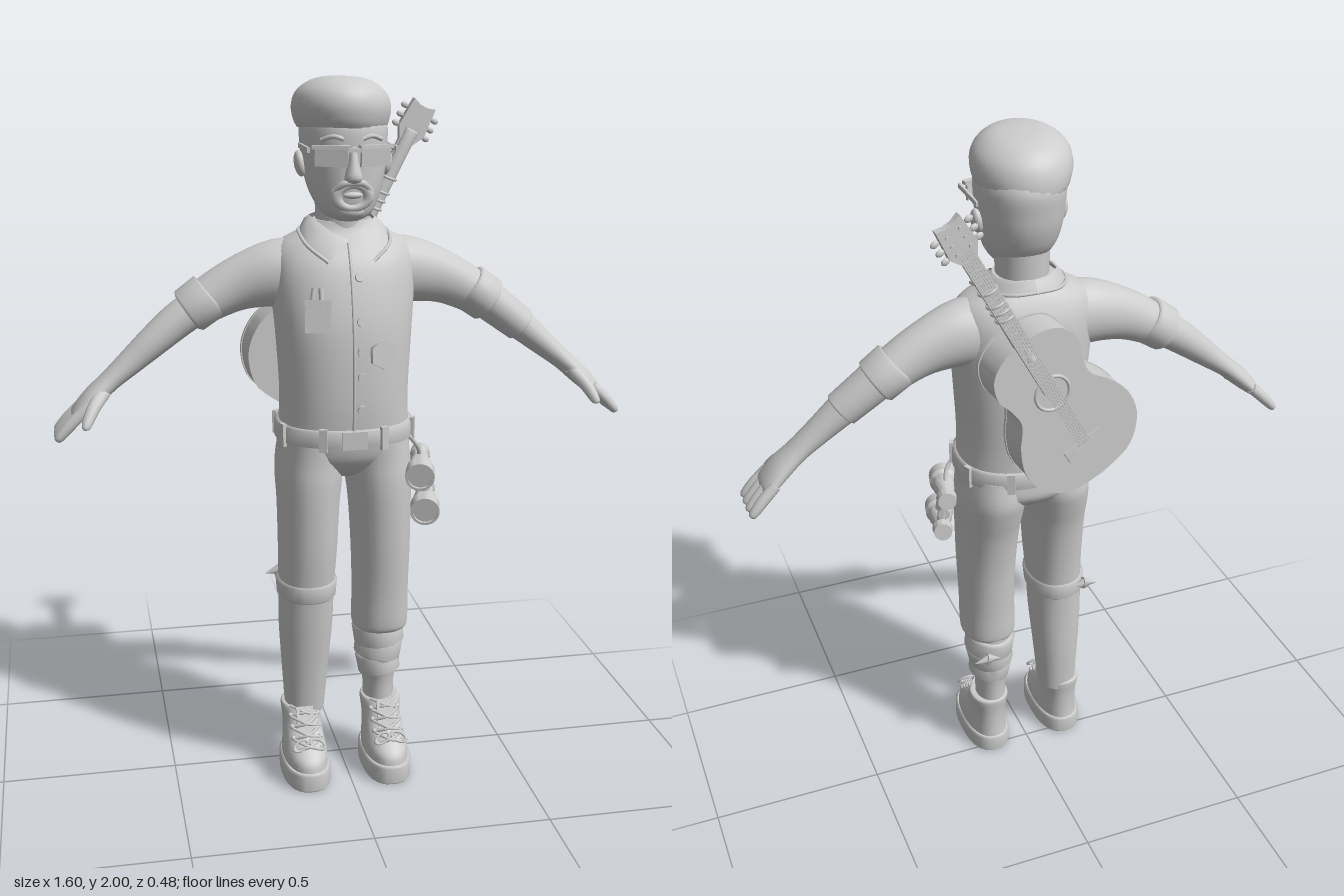
import * as THREE from 'three';
import { toCreasedNormals } from 'three/addons/utils/BufferGeometryUtils.js';

const clay = new THREE.MeshStandardMaterial({ color: 0xcccccc });
clay.name = 'clay grey';
const clayThin = clay.clone();
clayThin.name = 'clay grey thin';
clayThin.side = THREE.DoubleSide;
const V = (x, y, z) => new THREE.Vector3(x, y, z);

// Catmull-Rom sample of rows [x, y, z, radiusA, radiusB]
function sample(rows, t) {
  const i = Math.min(Math.floor(t), rows.length - 2), f = t - i;
  const row = k => rows[Math.max(0, Math.min(rows.length - 1, k))];
  return rows[0].map((_, c) => {
    const [p, q, r, s] = [row(i - 1)[c], row(i)[c], row(i + 1)[c], row(i + 2)[c]];
    return q + 0.5 * f * (r - p + f * (2 * p - 5 * q + 4 * r - s + f * (3 * (q - r) + s - p)));
  });
}

// Closed skin over elliptical rings; rings lie flat, or follow the path when bend is true
function loft(rows, { sub = 4, n = 28, e = 2, bend = false } = {}) {
  const rings = [], pos = [], idx = [], steps = (rows.length - 1) * sub;
  for (let i = 0; i <= steps; i++) rings.push(sample(rows, i / sub));
  const upward = Math.sign(rings[steps][1] - rings[0][1]);
  const addRing = i => {
    const [x, y, z, a, b] = rings[i];
    const p = rings[Math.max(0, i - 1)], q = rings[Math.min(steps, i + 1)];
    let ux = upward, uy = 0;
    if (bend) {
      const l = Math.hypot(q[0] - p[0], q[1] - p[1]);
      ux = (q[1] - p[1]) / l; uy = -(q[0] - p[0]) / l;
    }
    for (let j = 0; j < n; j++) {
      const t = j / n * Math.PI * 2, c = Math.cos(t), s = Math.sin(t);
      const u = Math.sign(c) * Math.abs(c) ** (2 / e) * Math.max(a, 0.001);
      const v = Math.sign(s) * Math.abs(s) ** (2 / e) * Math.max(b, 0.001);
      pos.push(x + ux * u, y + uy * u, z + v);
    }
  };
  for (let i = 0; i <= steps; i++) addRing(i);
  for (let i = 0; i < steps; i++) for (let j = 0; j < n; j++) {
    const a = i * n + j, b = i * n + (j + 1) % n;
    idx.push(a, a + n, b, b, a + n, b + n);
  }
  for (const i of [0, steps]) {
    const base = pos.length / 3;
    addRing(i);
    pos.push(...rings[i].slice(0, 3));
    for (let j = 0; j < n; j++) {
      const a = base + j, b = base + (j + 1) % n;
      idx.push(...(i ? [a, base + n, b] : [a, b, base + n]));
    }
  }
  const g = new THREE.BufferGeometry();
  g.setAttribute('position', new THREE.Float32BufferAttribute(pos, 3));
  g.setIndex(idx);
  g.computeVertexNormals();
  return g;
}

const torsoRows = [[0, 1.05, .05, .183, .15], [0, 1.15, .053, .178, .155], [0, 1.3, .05, .186, .155], [0, 1.4, .043, .194, .147],
  [0, 1.5, .032, .198, .129], [0, 1.56, .026, .178, .102], [0, 1.6, .027, .108, .08], [0, 1.625, .03, .08, .07]];
const CHEST_E = 2.3;
// Depth of the shirt front at x, y
function chestZ(x, y) {
  let lo = 0, hi = torsoRows.length - 1;
  for (let k = 0; k < 30; k++) { const m = (lo + hi) / 2; if (sample(torsoRows, m)[1] < y) lo = m; else hi = m; }
  const r = sample(torsoRows, lo);
  return r[2] + r[4] * (1 - Math.abs(x / r[3]) ** CHEST_E) ** (1 / CHEST_E);
}

export function createModel() {
  const model = new THREE.Group();
  model.name = 'travellingMusician';
  const add = (name, geo, p = [0, 0, 0], r = [0, 0, 0], parent = model, mat = clay) => {
    const m = new THREE.Mesh(geo, mat);
    m.name = name; m.position.set(...p); m.rotation.set(...r);
    parent.add(m);
    return m;
  };
  const box = (w, h, d) => new THREE.BoxGeometry(w, h, d);
  const ball = (a, b, c) => new THREE.SphereGeometry(1, 20, 14).scale(a, b, c);
  const disc = (r, h, n = 24) => new THREE.CylinderGeometry(r, r, h, n).rotateX(Math.PI / 2);
  const tube = (pts, r) => new THREE.TubeGeometry(new THREE.CatmullRomCurve3(pts.map(p => V(...p))), 20, r, 8);
  const onChest = (name, geo, x, y) => {
    const d = .01, z = chestZ(x, y), m = add(name, geo, [x, y, z]);
    m.lookAt(x - (chestZ(x + d, y) - z) / d, y - (chestZ(x, y + d) - z) / d, z + 1);
    return m;
  };

  // Shirt with placket, buttons, pocket and patch
  add('shirt', loft(torsoRows, { e: CHEST_E, n: 40 }));
  add('placket', tube([1.06, 1.15, 1.25, 1.35, 1.45, 1.52, 1.57].map(y => [0, y, chestZ(0, y) + .001]), .004));
  for (const y of [1.13, 1.22, 1.29, 1.37, 1.485]) onChest('button', disc(.013, .016), .022, y);
  const pocket = onChest('pocket', box(.068, .088, .016), -.093, 1.386);
  add('pocketHem', box(.072, .016, .01), [0, .036, .005], [0, 0, 0], pocket);
  for (const x of [-.015, .008]) add('pen', new THREE.CylinderGeometry(.007, .007, .05, 10), [x, .05, .002], [0, 0, x * 8], pocket);
  onChest('patch', disc(.041, .014, 6), .08, 1.28);
  // Turned-down collar, each half a strip from neck edge to outer edge
  const collarEdge = [[0, 1.58, .13, .06, 1.525, .162], [.045, 1.6, .12, .11, 1.565, .125], [.083, 1.63, .06, .122, 1.59, .06],
    [.086, 1.632, 0, .112, 1.595, -.005], [.05, 1.635, -.048, .063, 1.605, -.07], [0, 1.635, -.058, 0, 1.608, -.082]];
  for (const s of [1, -1]) {
    const pos = [], idx = [];
    collarEdge.forEach(([a, b, c, d, e, f]) => pos.push(s * a, b, c, s * (a + d) / 2, (b + e) / 2 + .009, (c + f) / 2, s * d, e, f));
    for (let i = 0; i < 5; i++) for (const k of [0, 1]) {
      const o = i * 3 + k;
      idx.push(...(s > 0 ? [o, o + 1, o + 3, o + 3, o + 1, o + 4] : [o, o + 3, o + 1, o + 3, o + 4, o + 1]));
    }
    const g = new THREE.BufferGeometry();
    g.setAttribute('position', new THREE.Float32BufferAttribute(pos, 3));
    g.setIndex(idx); g.computeVertexNormals();
    add('collar', g, [0, 0, 0], [0, 0, 0], model, clayThin);
    add('collarEdge', tube(collarEdge.map(([, , , d, e, f]) => [s * d, e, f]), .005));
  }

  // Head, cap and face
  add('neck', loft([[0, 1.56, .03, .07, .073], [0, 1.72, .03, .075, .078]]));
  add('head', loft([[0, 1.632, .11, .03, .04], [0, 1.65, .092, .066, .08], [0, 1.7, .066, .094, .116], [0, 1.76, .053, .109, .132],
    [0, 1.82, .048, .115, .138], [0, 1.88, .045, .115, .138], [0, 1.93, .045, .09, .11]], { e: 2.15 }));
  add('cap', loft([[0, -.055, -.008, .116, .136], [-.002, -.035, -.004, .126, .144], [-.004, 0, .003, .132, .145], [-.005, .035, .008, .122, .132],
    [-.005, .062, .011, .093, .102], [-.004, .076, .012, .055, .06], [-.003, .08, .012, .004, .004]]), [-.004, 1.92, .053], [-.08, 0, -.05]);
  add('nose', loft([[0, 1.735, .18, .022, .018], [0, 1.75, .186, .024, .026], [0, 1.79, .183, .014, .018], [0, 1.83, .178, .01, .01]], { n: 16 }));
  add('mouthBeard', new THREE.TorusGeometry(.034, .012, 10, 28).scale(1.25, .9, 1), [0, 1.7, .176], [.1, 0, 0]);
  add('lips', ball(.026, .009, .01), [0, 1.704, .182]);
  add('chinBeard', ball(.038, .022, .03), [0, 1.66, .152]);
  for (const s of [1, -1]) {
    add('ear', ball(.016, .035, .025), [s * .117, 1.775, .048], [-.15, 0, s * -.15]);
    add('moustache', tube([[0, 1.737, .19], [s * .025, 1.735, .19], [s * .05, 1.712, .174]], .009));
    add('eyebrow', tube([[s * .025, 1.848, .183], [s * .05, 1.855, .178], [s * .08, 1.845, .158]], .006));
    add('sunglassLens', box(.086, .048, .008), [s * .058, 1.803, .188], [.08, s * .3, 0]);
    add('sunglassRim', box(.098, .01, .016), [s * .06, 1.829, .19], [0, s * .3, 0]);
    add('sunglassTemple', box(.007, .013, .14), [s * .117, 1.822, .112]);
  }
  add('sunglassBridge', box(.04, .01, .014), [0, 1.822, .203]);

  // Arms: sleeve, rolled cuff, forearm, hand
  for (const s of [1, -1]) {
    const limb = (name, rows, o = {}) => add(name, loft(rows.map(([x, ...q]) => [s * x, ...q]), { bend: true, ...o }));
    limb('sleeve', [[.08, 1.475, .022, .1, .085], [.18, 1.478, .02, .093, .079], [.29, 1.45, .016, .073, .063], [.385, 1.402, .015, .06, .06]]);
    limb('sleeveCuff', [[.36, 1.425, .015, .058, .062], [.366, 1.42, .015, .067, .071], [.42, 1.382, .016, .065, .069], [.426, 1.378, .016, .055, .059]], { sub: 1 });
    limb('forearm', [[.38, 1.405, .015, .05, .05], [.45, 1.36, .02, .049, .05], [.52, 1.305, .028, .043, .046], [.58, 1.255, .034, .036, .041],
      [.64, 1.205, .04, .029, .042], [.69, 1.16, .045, .028, .053], [.73, 1.12, .045, .021, .06], [.742, 1.108, .045, .012, .052]]);
    for (const z of [-.003, .029, .061, .091]) {
      const k = 1 - Math.abs(z - .04) * 1.2, zt = z * 1.15 - .008;
      limb('finger', [[.715, 1.135, z, .016, .015], [.755, 1.097, (z + zt) / 2, .016, .016],
        [.755 + .033 * k, 1.097 - .036 * k, zt, .012, .013], [.758 + .036 * k, 1.094 - .04 * k, zt, .003, .003]], { n: 12 });
    }
    limb('thumb', [[.655, 1.185, .065, .02, .022], [.69, 1.145, .105, .018, .02], [.712, 1.105, .135, .013, .014], [.716, 1.095, .14, .003, .003]], { n: 12 });
  }
  add('forearmWrap', loft([[.42, 1.382, .018, .055, .057], [.515, 1.31, .028, .05, .053], [.52, 1.306, .028, .042, .045]], { bend: true, sub: 1 }));

  // Trousers and belt
  add('hips', loft([[0, .915, .045, .05, .07], [0, .935, .044, .11, .105], [0, .975, .041, .178, .143], [0, 1.02, .046, .187, .152], [0, 1.06, .05, .184, .152]], { e: 2.3 }));
  const thigh = [[.09, 1.04, .046, .088, .142], [.096, .97, .04, .093, .147], [.1, .91, .047, .093, .142], [.103, .83, .056, .087, .13], [.106, .7, .061, .083, .114]];
  add('leftTrouserLeg', loft([...thigh, [.107, .56, .058, .08, .1], [.107, .47, .055, .081, .094], [.107, .44, .053, .077, .086], [.107, .43, .05, .055, .06]], { e: 2.2 }));
  add('rightTrouserLeg', loft([...thigh.map(([x, ...q]) => [-x, ...q]), [-.11, .58, .058, .079, .099], [-.112, .46, .052, .077, .088],
    [-.113, .33, .042, .068, .076], [-.114, .18, .034, .057, .06]], { e: 2.2 }));
  const beltRows = [[0, 1.022, .05, .185, .152], [0, 1.026, .05, .194, .163], [0, 1.07, .05, .193, .163], [0, 1.074, .05, .18, .15]];
  add('belt', loft(beltRows, { sub: 1, e: 2.3, n: 40 }));
  add('beltBuckle', box(.07, .05, .012), [0, 1.048, .216]);
  for (let i = 0; i < 8; i++) {
    const t = (i + .5) / 8 * Math.PI * 2, c = Math.cos(t), q = Math.sin(t), f = x => Math.sign(x) * Math.abs(x) ** (2 / 2.3);
    add('beltLoop', box(.022, .064, .012), [.195 * f(c), 1.048, .05 + .164 * f(q)], [0, Math.PI / 2 - t, 0]);
  }

  // Knee scarf and shin bandage with knots
  add('kneeScarf', loft([[-.11, .55, .056, .077, .096], [-.11, .558, .057, .084, .106], [-.11, .6, .059, .087, .108], [-.11, .607, .059, .078, .098]], { sub: 1, e: 2.2 }));
  add('shin', loft([[.11, .15, .03, .045, .054], [.11, .25, .031, .046, .058], [.108, .33, .035, .058, .07], [.107, .45, .04, .062, .075]]));
  [[.405, .075, .083, .1], [.36, .07, .078, -.16], [.31, .064, .07, .14]].forEach(([y, a, b, tilt]) =>
    add('shinBandage', loft([[0, -.03, 0, a - .01, b - .01], [0, -.025, 0, a - .002, b - .002], [0, .025, 0, a, b], [0, .031, 0, a - .012, b - .012]], { sub: 1 }),
      [.108, y, .036], [-.06, 0, tilt]));
  for (const [x, y, z] of [[-.175, .58, -.03], [.14, .385, -.04]]) {
    add('knot', ball(.014, .014, .014), [x, y, z]);
    for (const a of [1.1, -1.6]) add('knotEnd', new THREE.ConeGeometry(.016, .05, 10), [x - Math.sin(a) * .02, y + .006, z - .006], [0, 0, -a + Math.PI * .94]);
  }

  // Laced boots
  for (const x of [.115, -.125]) {
    const boot = new THREE.Group();
    boot.name = 'boot'; boot.position.x = x; model.add(boot);
    const part = (name, geo, p, r) => add(name, geo, p, r, boot);
    part('sole', loft([[0, 0, .1, .066, .13], [0, .006, .1, .07, .135], [0, .05, .1, .07, .135], [0, .056, .1, .064, .129]], { sub: 1, e: 2.5 }));
    part('upper', loft([[0, .045, .098, .063, .127], [0, .08, .096, .063, .122], [0, .112, .077, .059, .102], [0, .15, .05, .056, .076],
      [0, .195, .034, .059, .065], [0, .203, .033, .052, .058]], { e: 2.2 }));
    part('tongue', box(.05, .09, .012), [0, .167, .118], [-.45, 0, 0]);
    for (let i = 0; i < 4; i++) {
      const y = .11 + i * .024, z = .191 - i * .026;
      for (const s of [1, -1]) {
        part('lace', tube([[-s * .036, y, z - .014], [0, y + .014, z], [s * .038, y + .022, z - .034]], .0045));
        part('eyelet', ball(.007, .007, .007), [s * .04, y, z - .018]);
      }
    }
    for (const s of [1, -1]) part('laceBow', new THREE.TorusGeometry(.016, .004, 8, 16).scale(1.4, .8, 1), [s * .024, .128, .186], [-.5, 0, s * -.5]);
  }

  // Binoculars hanging from the belt
  const profile = [[0, -.09], [.026, -.09], [.029, -.062], [.022, -.055], [.026, -.015], [.033, .005], [.033, .035], [.041, .045], [.041, .09], [.034, .09], [.034, .082], [0, .082]];
  const barrelGeo = toCreasedNormals(new THREE.LatheGeometry(profile.map(p => new THREE.Vector2(...p)), 28), .5);
  for (const [x, y] of [[.21, .936], [.226, .834]])
    add('binocularBarrel', barrelGeo, [x, y, .108]).quaternion.setFromUnitVectors(V(0, 1, 0), V(-.24, -.13, .96).normalize());
  for (const z of [.065, .12]) add('binocularBridge', new THREE.CylinderGeometry(.015, .015, .1, 14), [.226 - (z - .09) * .25, .885, z], [0, 0, .16]);
  add('binocularHinge', new THREE.CylinderGeometry(.017, .017, .09, 16), [.222, .885, .095], [Math.PI / 2, 0, .25]);
  add('binocularStrap', tube([[.17, 1.03, .13], [.2, .99, .12], [.21, .95, .1]], .006));

  // Guitar on the back, strings facing backwards
  const guitar = new THREE.Group();
  guitar.name = 'guitar';
  guitar.position.set(-.066, 1.225, -.085);
  guitar.rotation.set(0, .1, -.497, 'YXZ');
  model.add(guitar);
  const gp = (name, geo, p, r) => add(name, geo, p, r, guitar);
  const half = [[.1, -.148], [.163, -.08], [.176, 0], [.152, .075], [.113, .14], [.117, .2], [.13, .25], [.11, .31], [.06, .342]];
  const outline = k => new THREE.SplineCurve([[0, -.165], ...half, [0, .348], ...half.slice().reverse().map(([x, y]) => [-x, y]), [0, -.165]]
    .map(([x, y]) => new THREE.Vector2(x * k, (y - .08) * k + .08))).getPoints(90);
  const slab = (pts, depth) => toCreasedNormals(new THREE.ExtrudeGeometry(new THREE.Shape(pts), { depth, bevelEnabled: false }), .6);
  gp('guitarBody', slab(outline(1), .1), [0, 0, -.1]);
  for (const z of [-.103, -.007]) gp('guitarBinding', slab(outline(1.015), .01), [0, 0, z]);
  gp('soundHoleRing', new THREE.TorusGeometry(.05, .005, 8, 32), [0, .165, -.103]);
  gp('bridge', box(.125, .034, .014), [0, -.04, -.108]);
  gp('saddle', box(.085, .008, .01), [0, -.036, -.116]);
  gp('fretboard', box(.044, .49, .014), [0, .425, -.109]);
  gp('guitarNeck', loft([[0, .3, -.092, .024, .03], [0, .37, -.094, .022, .022], [0, .66, -.097, .02, .016], [0, .69, -.101, .025, .01]]));
  for (let i = 0; i < 14; i++) gp('fret', box(.044, .004, .004), [0, .66 - i * .036 + i * i * .0005, -.117]);
  for (let i = 0; i < 6; i++) gp('string', box(.0025, .72, .0025), [(i - 2.5) * .0065, .32, -.118]);
  for (const y of [.45, .475, .5, .545]) gp('neckWrap', new THREE.TorusGeometry(.024, .004, 8, 24), [0, y, -.098], [Math.PI / 2 + .15, .12, 0]);
  const headstock = [[-.022, .655], [.022, .655], [.042, .69], [.036, .775], [.012, .767], [-.012, .767], [-.036, .775], [-.042, .69]];
  gp('headstock', slab(headstock.map(p => new THREE.Vector2(...p)), .02), [0, 0, -.117]);
  for (const s of [1, -1]) for (const y of [.69, .718, .746]) {
    gp('tuningPost', disc(.005, .027), [s * .02, y, -.109]);
    gp('tuningPeg', ball(.012, .009, .006), [s * .051, y, -.107]);
  }
  return model;
}
